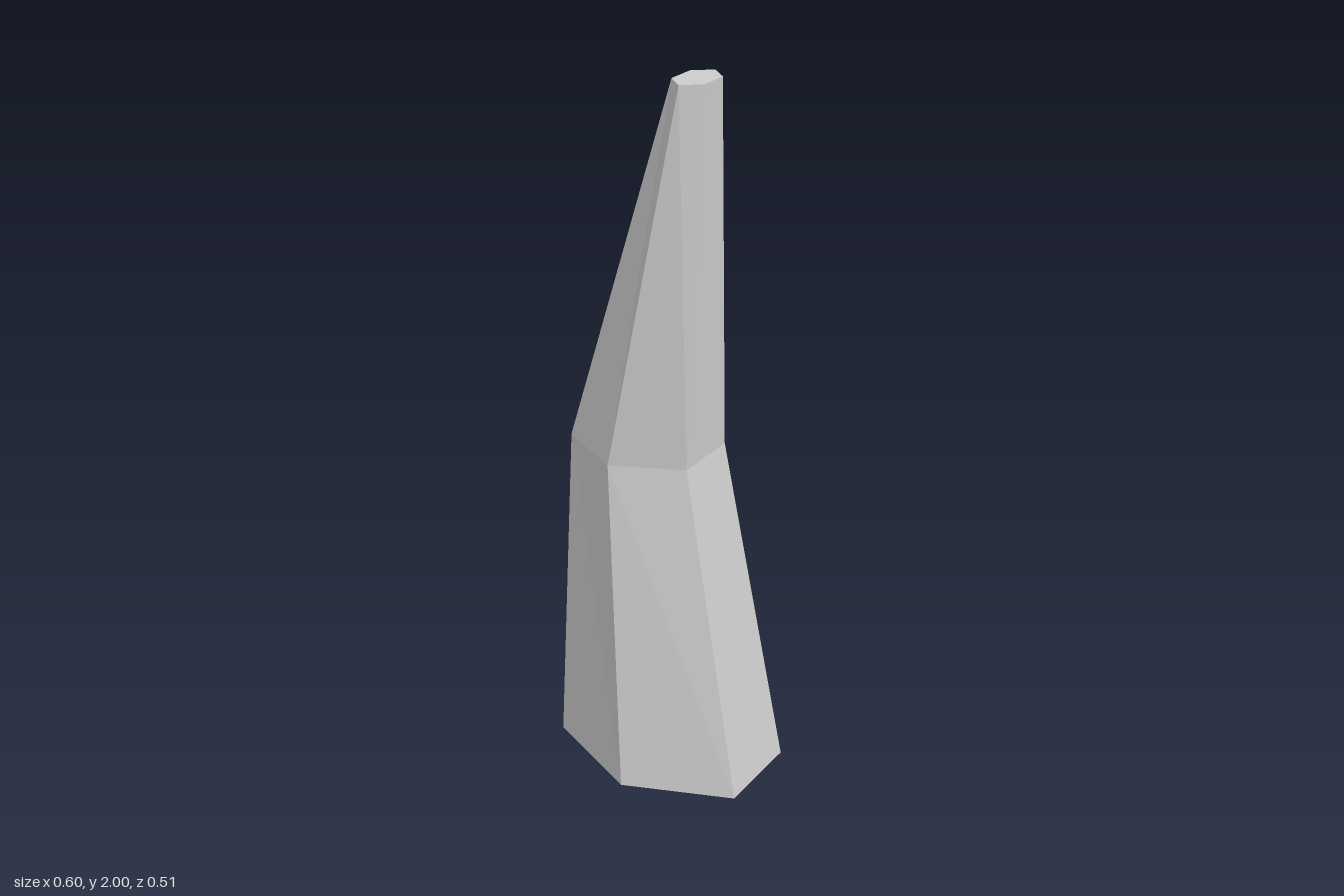
import * as THREE from 'three';

// Hexagonal cross-sections, bottom to top: height, centre and half extents
const SECTIONS = [
  { y: 0, x: 0, z: 0, halfX: 0.298, halfZ: 0.253 },
  { y: 0.96, x: -0.087, z: -0.017, halfX: 0.188, halfZ: 0.187 },
  { y: 2, x: 0.095, z: 0.029, halfX: 0.047, halfZ: 0.08 },
];
const SIDES = 6;

function bentSpikeGeometry() {
  const positions = [];
  const index = [];

  // Rings with a corner pointing to the front and back
  for (const s of SECTIONS) {
    const radiusX = s.halfX / Math.sin(Math.PI / 3);
    for (let i = 0; i < SIDES; i++) {
      const a = (i / SIDES) * Math.PI * 2;
      positions.push(s.x + radiusX * Math.sin(a), s.y, s.z + s.halfZ * Math.cos(a));
    }
  }

  // Side faces
  for (let r = 0; r < SECTIONS.length - 1; r++) {
    for (let i = 0; i < SIDES; i++) {
      const a = r * SIDES + i;
      const b = r * SIDES + ((i + 1) % SIDES);
      index.push(a, b, a + SIDES, b, b + SIDES, a + SIDES);
    }
  }

  // Flat caps
  const top = (SECTIONS.length - 1) * SIDES;
  for (let i = 1; i < SIDES - 1; i++) {
    index.push(0, i + 1, i);
    index.push(top, top + i, top + i + 1);
  }

  const geometry = new THREE.BufferGeometry();
  geometry.setAttribute('position', new THREE.Float32BufferAttribute(positions, 3));
  geometry.setIndex(index);
  const flat = geometry.toNonIndexed();
  flat.computeVertexNormals();
  return flat;
}

export function createModel() {
  const group = new THREE.Group();
  group.name = 'bentSpike';
  const material = new THREE.MeshStandardMaterial({ color: 0xcccccc, flatShading: true });
  const spike = new THREE.Mesh(bentSpikeGeometry(), material);
  spike.name = 'spikeBody';
  group.add(spike);
  return group;
}
